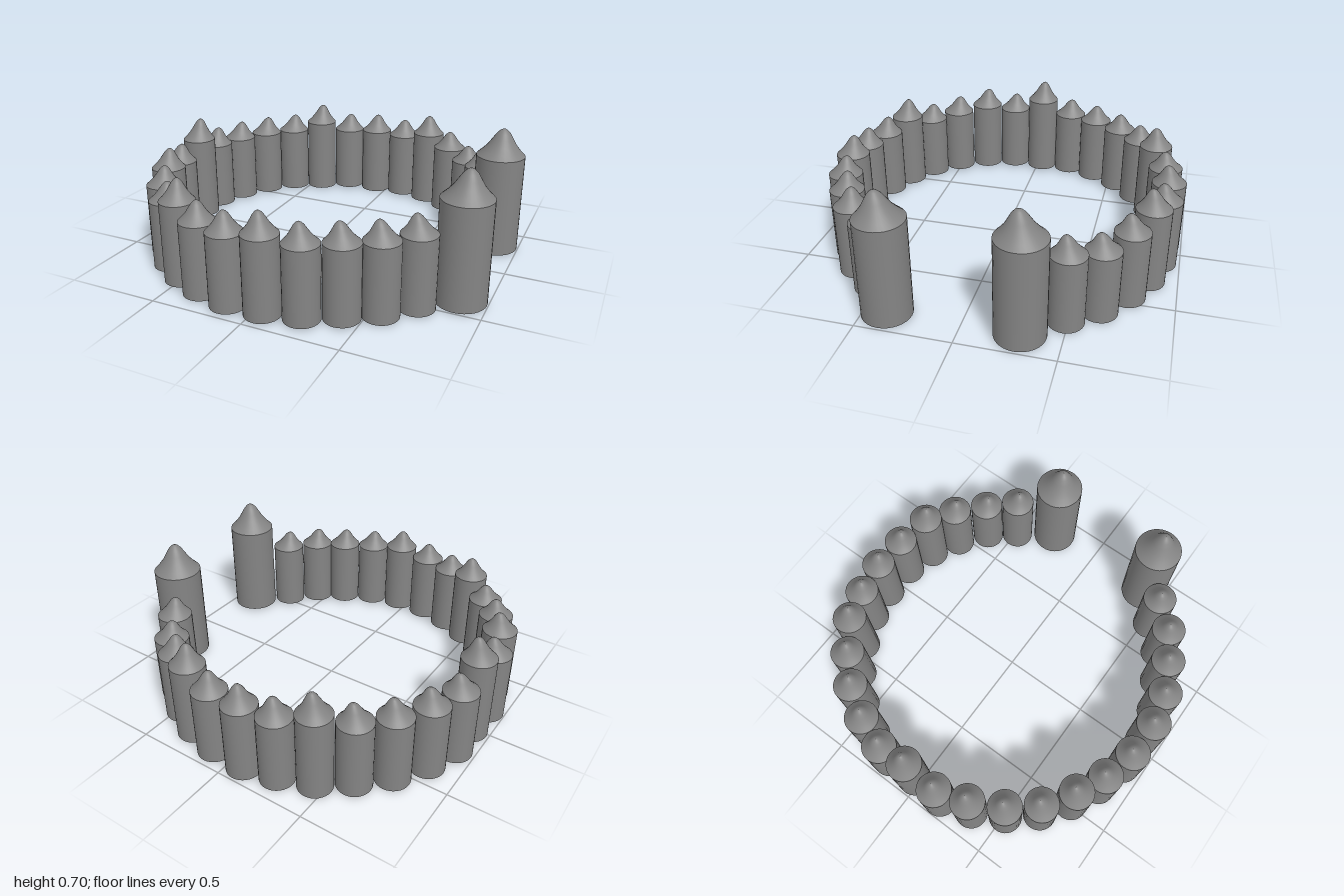
import * as THREE from 'three';

// Tip outline: [share of radius, share of tip height]
const TIP = [[1, 0], [0.8, 0.17], [0.58, 0.4], [0.42, 0.63], [0.28, 0.83], [0.16, 0.94], [0.07, 0.99], [0, 1]];

// Small stakes along the ring: [x, z, top height, base height]
const STAKES = [
  [0.724, -0.488], [0.609, -0.635, 0.465], [0.458, -0.755], [0.294, -0.84, 0.56], [0.112, -0.888],
  [-0.081, -0.895, 0.51, 0], [-0.266, -0.865], [-0.441, -0.795, 0.56, 0], [-0.597, -0.69], [-0.731, -0.555],
  [-0.833, -0.39], [-0.898, -0.215], [-0.898, -0.03, 0.605], [-0.906, 0.16], [-0.854, 0.34, 0.535],
  [-0.762, 0.51], [-0.637, 0.655, 0.48], [-0.487, 0.765, 0.56], [-0.322, 0.84], [-0.138, 0.888],
  [0.054, 0.89, 0.535], [0.241, 0.85], [0.408, 0.765], [0.564, 0.67], [0.694, 0.53],
];

// One stake: a round shaft and a slightly leaning pointed tip
function makeStake(name, material, radius, x, z, top, base, shoulder, leanX, leanZ) {
  const stake = new THREE.Group();
  stake.name = name;
  stake.position.set(x, base, z);

  const shaftHeight = shoulder - base;
  const shaft = new THREE.Mesh(new THREE.CylinderGeometry(radius, radius, shaftHeight, 32), material);
  shaft.name = 'shaft';
  shaft.position.y = shaftHeight / 2;

  const tipHeight = top - shoulder;
  const points = TIP.map(([r, h]) => new THREE.Vector2(r * radius, h * tipHeight));
  const geometry = new THREE.LatheGeometry(points, 32);
  const p = geometry.attributes.position;
  for (let i = 0; i < p.count; i++) {
    const t = p.getY(i) / tipHeight;
    p.setX(i, p.getX(i) + leanX * t);
    p.setZ(i, p.getZ(i) + leanZ * t);
  }
  const tip = new THREE.Mesh(geometry, material);
  tip.name = 'tip';
  tip.position.y = shaftHeight;

  stake.add(shaft, tip);
  return stake;
}

export function createModel() {
  const model = new THREE.Group();
  model.name = 'palisade';
  const material = new THREE.MeshStandardMaterial({ color: 0x848484 });

  // Ring of stakes; each leans in a direction that turns with the ring
  STAKES.forEach(([x, z, top = 0.5, base = 0.01], i) => {
    const a = Math.atan2(z, x) + Math.PI * 0.75;
    const shoulder = base + (top - base) * 0.795;
    model.add(makeStake(`stake${i + 1}`, material, 0.093, x, z, top, base, shoulder,
      0.015 * Math.cos(a), 0.015 * Math.sin(a)));
  });

  // Two thick gate posts
  model.add(makeStake('backGatePost', material, 0.13, 0.868, -0.295, 0.7, 0.01, 0.55, 0.01, 0.01));
  model.add(makeStake('frontGatePost', material, 0.13, 0.868, 0.377, 0.7, 0.01, 0.55, 0.01, 0.01));
  return model;
}
